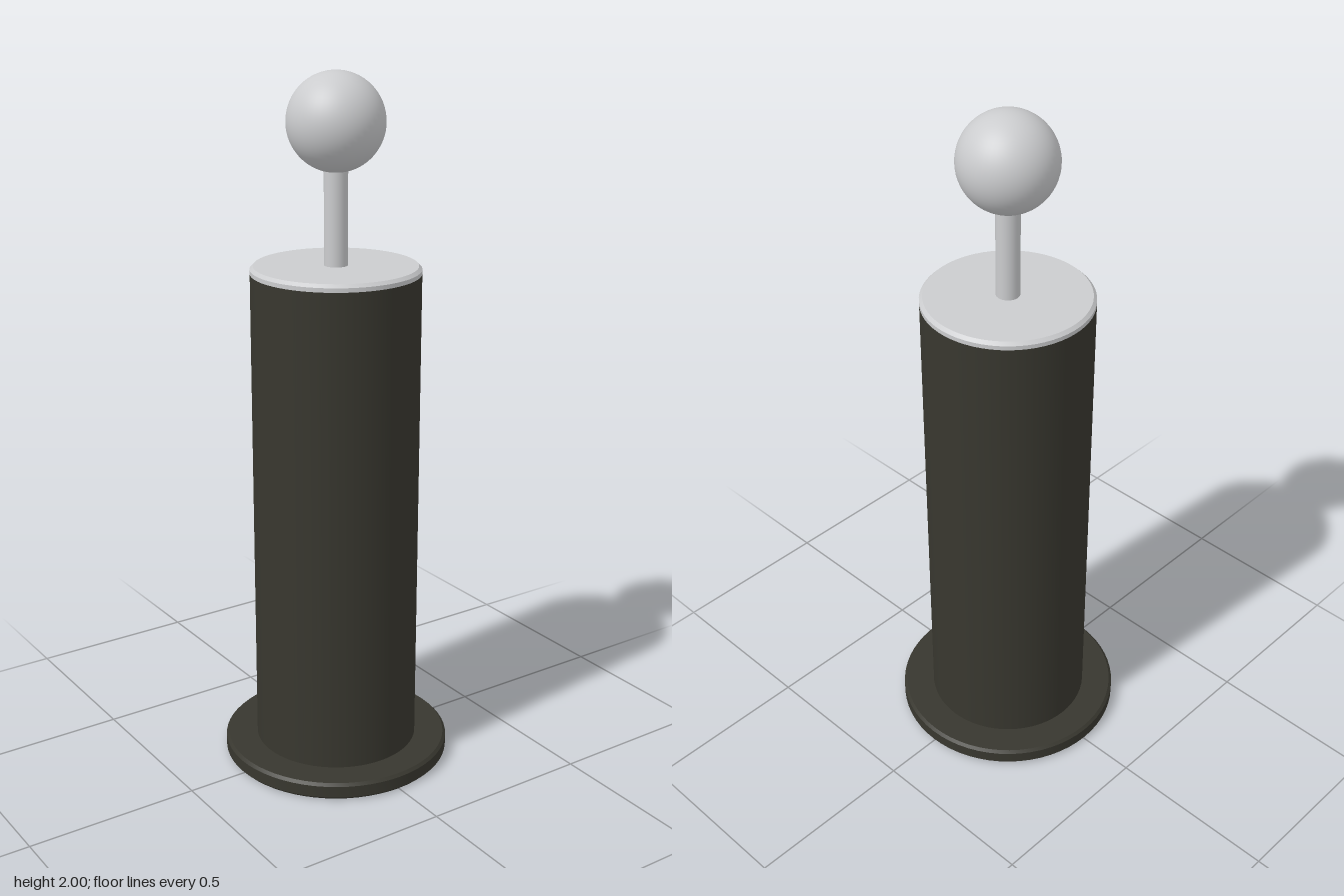
import * as THREE from 'three';
import { toCreasedNormals } from 'three/addons/utils/BufferGeometryUtils.js';

export function createModel() {
  const group = new THREE.Group();
  const dark = new THREE.MeshStandardMaterial({ color: 0x38372f });
  dark.name = 'darkOlive';
  const light = new THREE.MeshStandardMaterial({ color: 0xcbccce });
  light.name = 'lightGrey';

  const add = (name, geometry, material) => {
    const mesh = new THREE.Mesh(geometry, material);
    mesh.name = name;
    group.add(mesh);
    return mesh;
  };

  // Solid disc or column with small chamfers at its bottom and top rims
  const turned = (radius, y0, y1, bottom, top) => {
    const profile = [[0, y0], [radius - bottom, y0]];
    if (bottom > 0) profile.push([radius, y0 + bottom]);
    profile.push([radius, y1 - top]);
    if (top > 0) profile.push([radius - top, y1]);
    profile.push([0, y1]);
    const points = profile.map(([r, y]) => new THREE.Vector2(r, y));
    return toCreasedNormals(new THREE.LatheGeometry(points, 64), 0.5);
  };

  // Foot and main column
  add('base', turned(0.33, 0, 0.05, 0.008, 0.008), dark);
  add('column', turned(0.237, 0.04, 1.455, 0, 0), dark);

  // Pale cap, rod and ball
  add('cap', turned(0.237, 1.455, 1.476, 0, 0.009), light);
  add('rod', new THREE.CylinderGeometry(0.033, 0.033, 0.31, 32), light).position.y = 1.625;
  add('ball', new THREE.SphereGeometry(0.135, 48, 32), light).position.y = 1.865;

  return group;
}
